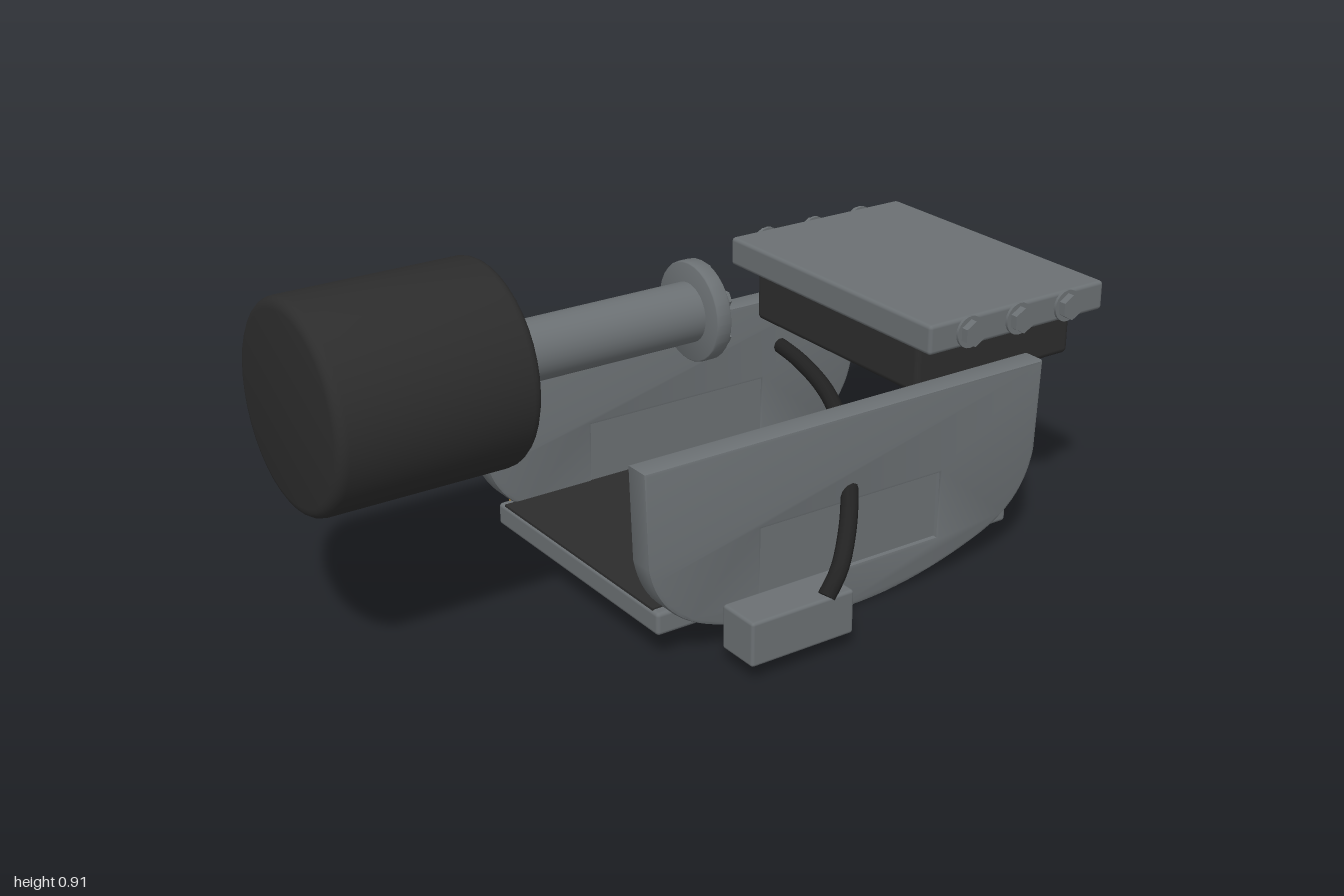
import * as THREE from 'three';
import { toCreasedNormals } from 'three/addons/utils/BufferGeometryUtils.js';
import { RoundedBoxGeometry } from 'three/addons/geometries/RoundedBoxGeometry.js';

const material = (name, color) => {
  const m = new THREE.MeshStandardMaterial({ color });
  m.name = name;
  return m;
};

export function createModel() {
  const steel = material('steel grey', 0x6b7073);
  const rubber = material('dark rubber', 0x2c2c2c);
  const hoseBlack = material('hose black', 0x222222);
  const amber = material('amber', 0xc98a1e);

  const model = new THREE.Group();
  model.name = 'plateAssembly';

  const add = (parent, name, geometry, mat, x = 0, y = 0, z = 0) => {
    const mesh = new THREE.Mesh(geometry, mat);
    mesh.name = name;
    mesh.position.set(x, y, z);
    parent.add(mesh);
    return mesh;
  };

  // Box given by its lower and upper limits, with softened edges
  const box = (name, mat, [x0, x1], [y0, y1], [z0, z1], r = 0.01) =>
    add(model, name, r ? new RoundedBoxGeometry(x1 - x0, y1 - y0, z1 - z0, 2, r)
      : new THREE.BoxGeometry(x1 - x0, y1 - y0, z1 - z0),
    mat, (x0 + x1) / 2, (y0 + y1) / 2, (z0 + z1) / 2);

  // Solid of revolution around y with rounded rims
  const drum = (radius, height, r, sides = 32) => {
    const pts = [new THREE.Vector2(0, -height / 2)];
    for (const s of [-1, 1]) {
      for (let i = 0; i <= 4; i++) {
        const a = (s < 0 ? i - 4 : i) * Math.PI / 8;
        pts.push(new THREE.Vector2(radius - r + r * Math.cos(a), s * (height / 2 - r) + r * Math.sin(a)));
      }
    }
    pts.push(new THREE.Vector2(0, height / 2));
    return toCreasedNormals(new THREE.LatheGeometry(pts, sides), 0.6);
  };

  // Washer and hexagon head, pointing along +y
  const makeBolt = (r, h) => {
    const bolt = new THREE.Group();
    bolt.name = 'bolt';
    add(bolt, 'washer', new THREE.CylinderGeometry(r * 1.15, r * 1.15, h * 0.3, 20), steel, 0, h * 0.15, 0);
    const head = new THREE.CylinderGeometry(r * 0.92, r * 0.92, h * 0.7, 6);
    add(bolt, 'hexHead', toCreasedNormals(head, 0.3), steel, 0, h * 0.65, 0);
    return bolt;
  };

  // Curved side plates, each with a sunken panel on its outer face
  const outline = new THREE.Shape();
  outline.moveTo(-0.36, 0.505);
  outline.lineTo(-0.35, 0.27);
  outline.bezierCurveTo(-0.335, 0.19, -0.29, 0.125, -0.19, 0.085);
  outline.bezierCurveTo(-0.06, 0.035, 0.08, 0.005, 0.225, 0.005);
  outline.bezierCurveTo(0.37, 0.005, 0.51, 0.035, 0.64, 0.085);
  outline.bezierCurveTo(0.74, 0.125, 0.785, 0.19, 0.8, 0.27);
  outline.lineTo(0.81, 0.505);
  outline.closePath();
  const hole = new THREE.Path();
  hole.moveTo(-0.04, 0.115);
  hole.lineTo(-0.04, 0.285);
  hole.lineTo(0.49, 0.285);
  hole.lineTo(0.49, 0.115);
  hole.closePath();
  outline.holes.push(hole);
  const bevel = 0.008;
  const plateGeometry = toCreasedNormals(new THREE.ExtrudeGeometry(outline, {
    depth: 0.068 - 2 * bevel, bevelThickness: bevel, bevelSize: bevel,
    bevelOffset: -bevel, bevelSegments: 2, curveSegments: 12,
  }), 0.6);
  add(model, 'frontSidePlate', plateGeometry, steel, 0, 0, 0.317 + bevel);
  add(model, 'backSidePlate', plateGeometry, steel, 0, 0, -0.402 + bevel);
  box('frontPanel', steel, [-0.05, 0.5], [0.105, 0.295], [0.32, 0.374], 0);
  box('backPanel', steel, [-0.05, 0.5], [0.105, 0.295], [-0.39, -0.337], 0);

  // Floor with its dark mat, and the amber strip
  box('floorPlate', steel, [-0.3, 0.755], [0.07, 0.128], [-0.365, 0.345]);
  box('floorMat', rubber, [-0.297, 0.75], [0.126, 0.132], [-0.337, 0.32], 0);
  box('amberStrip', amber, [-0.24, 0.71], [0.083, 0.12], [-0.416, -0.4], 0);

  // Raised deck on a rubber block, bolted along both edges
  box('deckPlate', steel, [0.44, 0.997], [0.598, 0.673], [-0.405, 0.385]);
  box('deckBlock', rubber, [0.47, 0.967], [0.465, 0.605], [-0.33, 0.31], 0.015);
  for (const x of [0.56, 0.715, 0.872]) {
    for (const s of [1, -1]) {
      const bolt = makeBolt(0.035, 0.026);
      bolt.name = 'deckBolt';
      bolt.rotation.x = s * Math.PI / 2;
      bolt.position.set(x, 0.636, s > 0 ? 0.384 : -0.404);
      model.add(bolt);
    }
  }

  // Roller, shaft and bolted flange; local +y points along the axle to +x
  const roller = new THREE.Group();
  roller.name = 'rollerAssembly';
  roller.rotation.z = -Math.PI / 2;
  roller.position.set(0, 0.675, -0.012);
  model.add(roller);
  add(roller, 'roller', drum(0.243, 0.49, 0.025, 40), rubber, 0, -0.755, 0);
  add(roller, 'shaft', new THREE.CylinderGeometry(0.073, 0.073, 0.56, 32), steel, 0, -0.24, 0);
  add(roller, 'flange', drum(0.122, 0.042, 0.006), steel, 0, 0.051, 0);
  for (let i = 0; i < 6; i++) {
    const a = i * Math.PI / 3;
    const bolt = makeBolt(0.024, 0.016);
    bolt.name = 'flangeBolt';
    bolt.position.set(Math.cos(a) * 0.088, 0.071, Math.sin(a) * 0.088);
    roller.add(bolt);
  }

  // Connector box and its hose, which passes over to the strut
  box('connectorBox', steel, [-0.182, 0.106], [0.045, 0.157], [0.43, 0.545], 0.008);
  const hosePath = new THREE.CatmullRomCurve3([
    [0.03, 0.16, 0.538], [0.07, 0.21, 0.53], [0.14, 0.265, 0.47], [0.225, 0.315, 0.37],
    [0.33, 0.347, 0.22], [0.44, 0.37, 0.02], [0.52, 0.373, -0.2], [0.58, 0.362, -0.45],
  ].map((p) => new THREE.Vector3(...p)));
  add(model, 'hose', new THREE.TubeGeometry(hosePath, 48, 0.021, 10), hoseBlack);
  for (const [t, s] of [[0, 1], [1, -1]]) {
    const cap = add(model, 'hoseEnd', new THREE.CircleGeometry(0.021, 10), hoseBlack);
    const p = hosePath.getPoint(t);
    cap.position.copy(p);
    cap.lookAt(p.clone().addScaledVector(hosePath.getTangent(t), -s));
  }

  // Strut behind the back plate, built along local +x
  const low = new THREE.Vector2(-0.25, 0.243);
  const high = new THREE.Vector2(0.555, 0.365);
  const length = low.distanceTo(high);
  const strut = new THREE.Group();
  strut.name = 'strut';
  strut.position.set(low.x, low.y, -0.507);
  strut.rotation.z = Math.atan2(high.y - low.y, high.x - low.x);
  model.add(strut);
  const along = (name, geometry, mat, x) => {
    add(strut, name, geometry, mat, x).rotation.z = -Math.PI / 2;
  };
  along('strutBody', drum(0.048, 0.56, 0.01, 24), rubber, 0.335);
  along('lowerCollar', drum(0.053, 0.035, 0.008, 24), rubber, 0.075);
  along('upperCollar', drum(0.053, 0.035, 0.008, 24), rubber, 0.6);
  along('strutRod', new THREE.CylinderGeometry(0.023, 0.023, 0.19, 20), steel, 0.7);
  along('rodNeck', new THREE.CylinderGeometry(0.03, 0.033, 0.03, 20), steel, 0.755);
  along('lowerNeck', new THREE.CylinderGeometry(0.03, 0.03, 0.06, 20), rubber, 0.045);
  for (const [name, x, mat] of [['lowerEye', 0, rubber], ['upperEye', length, steel]]) {
    add(strut, name, drum(0.054, 0.06, 0.012, 28), mat, x).rotation.x = Math.PI / 2;
    for (const s of [1, -1]) {
      const bolt = makeBolt(0.026, 0.012);
      bolt.name = 'eyeBolt';
      bolt.rotation.x = s * Math.PI / 2;
      bolt.position.set(x, 0, s * 0.029);
      strut.add(bolt);
    }
  }

  return model;
}
